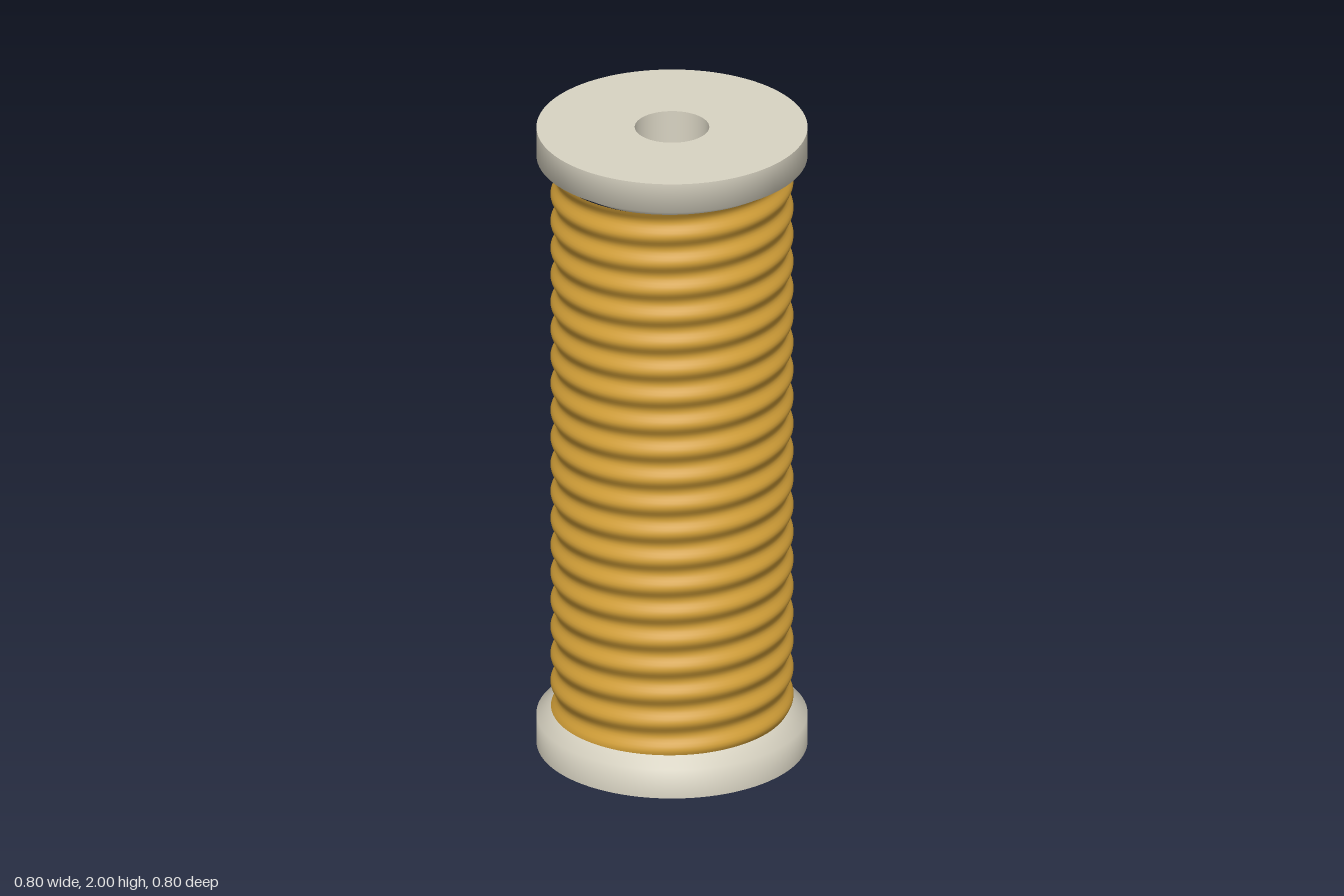
import * as THREE from 'three';
import { mergeVertices } from 'three/addons/utils/BufferGeometryUtils.js';

const SIDES = 96;
const OUTER = 0.4, BORE = 0.11, CORE = 0.33;

function lathe(name, profile, material) {
  const points = profile.map(([r, y]) => new THREE.Vector2(r, y));
  const mesh = new THREE.Mesh(new THREE.LatheGeometry(points, SIDES), material);
  mesh.name = name;
  return mesh;
}

// Cylinder whose radius ripples along a helix, one ridge per turn of thread
function threadGeometry(bottom, top, turns) {
  const height = top - bottom;
  const base = new THREE.CylinderGeometry(1, 1, height, SIDES, turns * 10, true);
  base.deleteAttribute('uv');
  base.deleteAttribute('normal');
  const geometry = mergeVertices(base);
  const pos = geometry.attributes.position;
  for (let i = 0; i < pos.count; i++) {
    const x = pos.getX(i), y = pos.getY(i), z = pos.getZ(i);
    const phase = ((y + height / 2) / height) * turns * Math.PI * 2 - Math.atan2(x, z);
    const r = 0.35 + 0.009 * Math.cos(phase);
    pos.setXYZ(i, x * r, y, z * r);
  }
  geometry.translate(0, (bottom + top) / 2, 0);
  geometry.computeVertexNormals();
  return geometry;
}

export function createModel() {
  const model = new THREE.Group();
  model.name = 'threadSpool';

  const ivory = new THREE.MeshStandardMaterial({ color: 0xd8d3c2 });
  ivory.name = 'ivory';
  const gold = new THREE.MeshStandardMaterial({ color: 0xd29f38 });
  gold.name = 'golden thread';

  // Bottom flange: flat face, rim and slope running into the core
  const bottomFlange = new THREE.Group();
  bottomFlange.name = 'bottomFlange';
  bottomFlange.add(
    lathe('bottomFace', [[BORE, 0], [OUTER, 0]], ivory),
    lathe('bottomRim', [[OUTER, 0], [OUTER, 0.092], [CORE, 0.134]], ivory)
  );

  // Top flange mirrors the bottom one
  const topFlange = new THREE.Group();
  topFlange.name = 'topFlange';
  topFlange.add(
    lathe('topRim', [[CORE, 1.866], [OUTER, 1.908], [OUTER, 2]], ivory),
    lathe('topFace', [[OUTER, 2], [BORE, 2]], ivory)
  );

  // Hole through the middle
  const bore = lathe('bore', [[BORE, 2], [BORE, 0]], ivory);

  // Wound thread
  const thread = new THREE.Mesh(threadGeometry(0.12, 1.88, 20), gold);
  thread.name = 'woundThread';

  model.add(bottomFlange, topFlange, bore, thread);
  return model;
}
